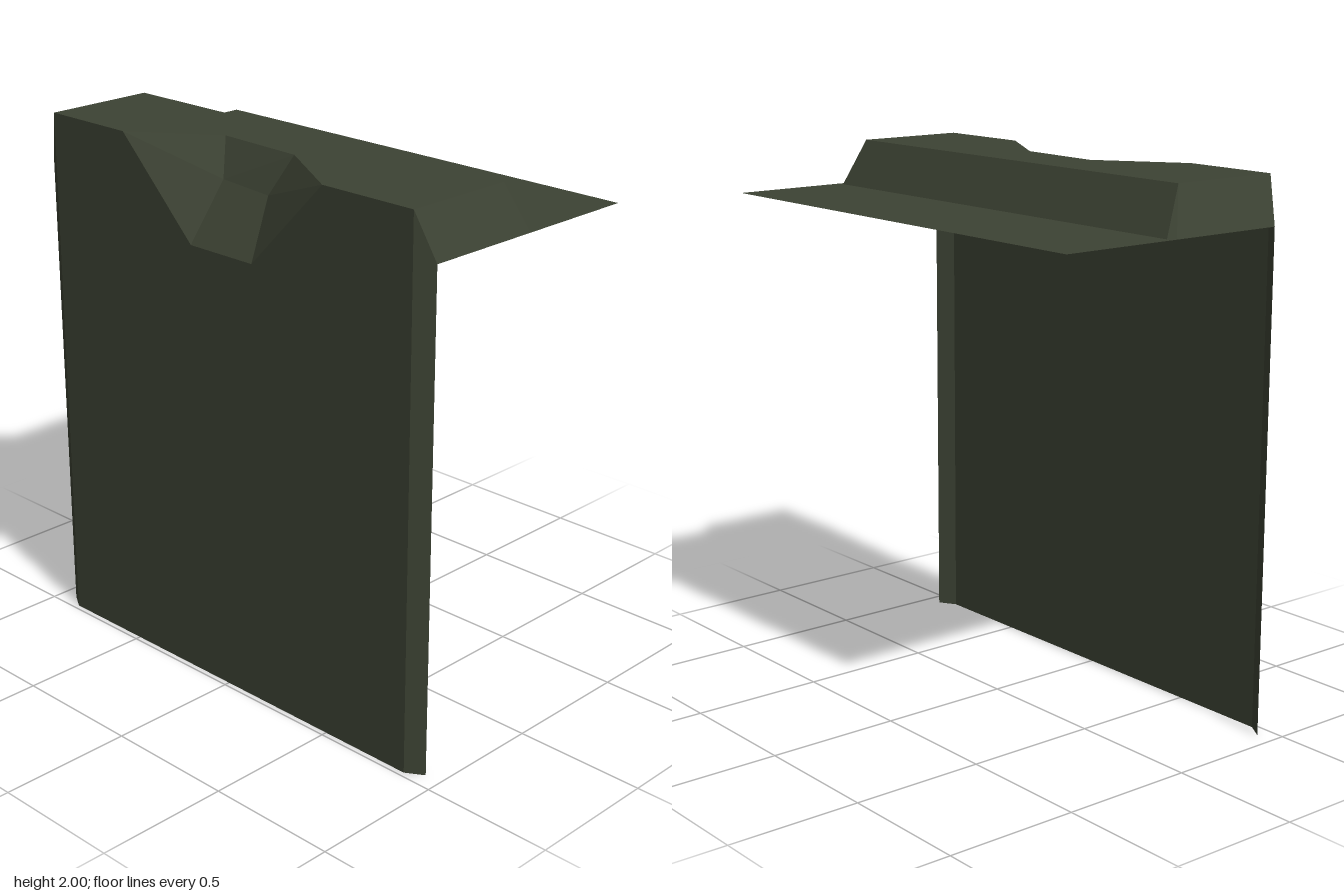
import * as THREE from 'three';

const olive = new THREE.MeshStandardMaterial({ color: 0x3d4334, flatShading: true, side: THREE.DoubleSide });
olive.name = 'olive drab';

// Flat sheet from an outline, facing +z
function sheet(outline) {
  return new THREE.ShapeGeometry(new THREE.Shape(outline.map(([x, y]) => new THREE.Vector2(x, y))));
}

// Facets from corner loops, each counter-clockwise seen from outside
function facets(loops) {
  const pos = [];
  for (const p of loops) {
    for (let i = 1; i < p.length - 1; i++) pos.push(...p[0], ...p[i], ...p[i + 1]);
  }
  const g = new THREE.BufferGeometry();
  g.setAttribute('position', new THREE.Float32BufferAttribute(pos, 3));
  g.computeVertexNormals();
  return g;
}

const mirror = (loop) => loop.map(([x, y, z]) => [-x, y, z]).reverse();

export function createModel() {
  const group = new THREE.Group();
  group.name = 'dentedPanel';
  const add = (name, geometry) => {
    const mesh = new THREE.Mesh(geometry, olive);
    mesh.name = name;
    group.add(mesh);
  };

  // Main dimensions
  const H = 2, lip = 1.83;           // top and lower rim heights
  const xi = 0.87, xo = 0.935;       // inner and outer half widths
  const zf = 0.48, zs = 0.44;        // front wall and chamfer depth
  const zt = 0.05, zb = -0.035, zBack = -0.485;

  // Dent corners
  const rimL = [-0.49, H, zf], rimR = [0.48, H, zf];
  const topL = [-0.19, H, 0.27], topR = [0.16, H, 0.285];
  const midL = [-0.13, 1.87, 0.34], midR = [0.1, 1.86, 0.35];
  const lowL = [-0.15, 1.66, zf], lowR = [0.15, 1.66, zf];

  // Front wall, notched around the dent
  const wall = sheet([[-xi, 0], [xi, 0], [xi, H], rimR, lowR, lowL, rimL, [-xi, H]]);
  wall.translate(0, 0, zf);
  add('frontWall', wall);

  // Top face, notched the same way
  const roofLoop = [[-xi, H, zf], rimL, topL, topR, rimR, [xi, H, zf], [xi, H, zt], [-xi, H, zt]];
  const roof = sheet(roofLoop.map(([x, , z]) => [x, -z]));
  roof.rotateX(-Math.PI / 2).translate(0, H, 0);
  add('topFace', roof);

  // Folded faces of the dent
  add('dent', facets([
    [rimL, lowL, midL], [rimL, midL, topL],
    [lowL, lowR, midR, midL], [midL, midR, topR, topL],
    [rimR, midR, lowR], [rimR, topR, midR],
  ]));

  // Sloped back of the raised edge
  add('backSlope', facets([[[-xi, H, zt], [xi, H, zt], [0.91, lip, zb], [-0.91, lip, zb]]]));

  // Chamfers, end faces and small clipped corners on both sides
  const chamfer = [[xi, 0, zf], [xo, 0, zs], [xo, lip, zs], [xi, H, zf]];
  const end = [[xi, H, zf], [xo, lip, zs], [xo, lip, -0.015], [xi, H, zt]];
  const corner = [[xi, H, zt], [xo, lip, -0.015], [0.91, lip, zb]];
  for (const side of ['left', 'right']) {
    const place = (loop) => (side === 'left' ? loop : mirror(loop));
    add(side + 'Chamfer', facets([place(chamfer)]));
    add(side + 'EndFace', facets([place(end), place(corner)]));
  }

  // Thin shelf running to the back
  const shelf = sheet([[-xo, 0.015], [-0.91, -zb], [0.91, -zb], [xo, 0.015], [xo, -zBack], [-xo, -zBack]]);
  shelf.rotateX(-Math.PI / 2).translate(0, lip, 0);
  add('rearShelf', shelf);

  return group;
}
